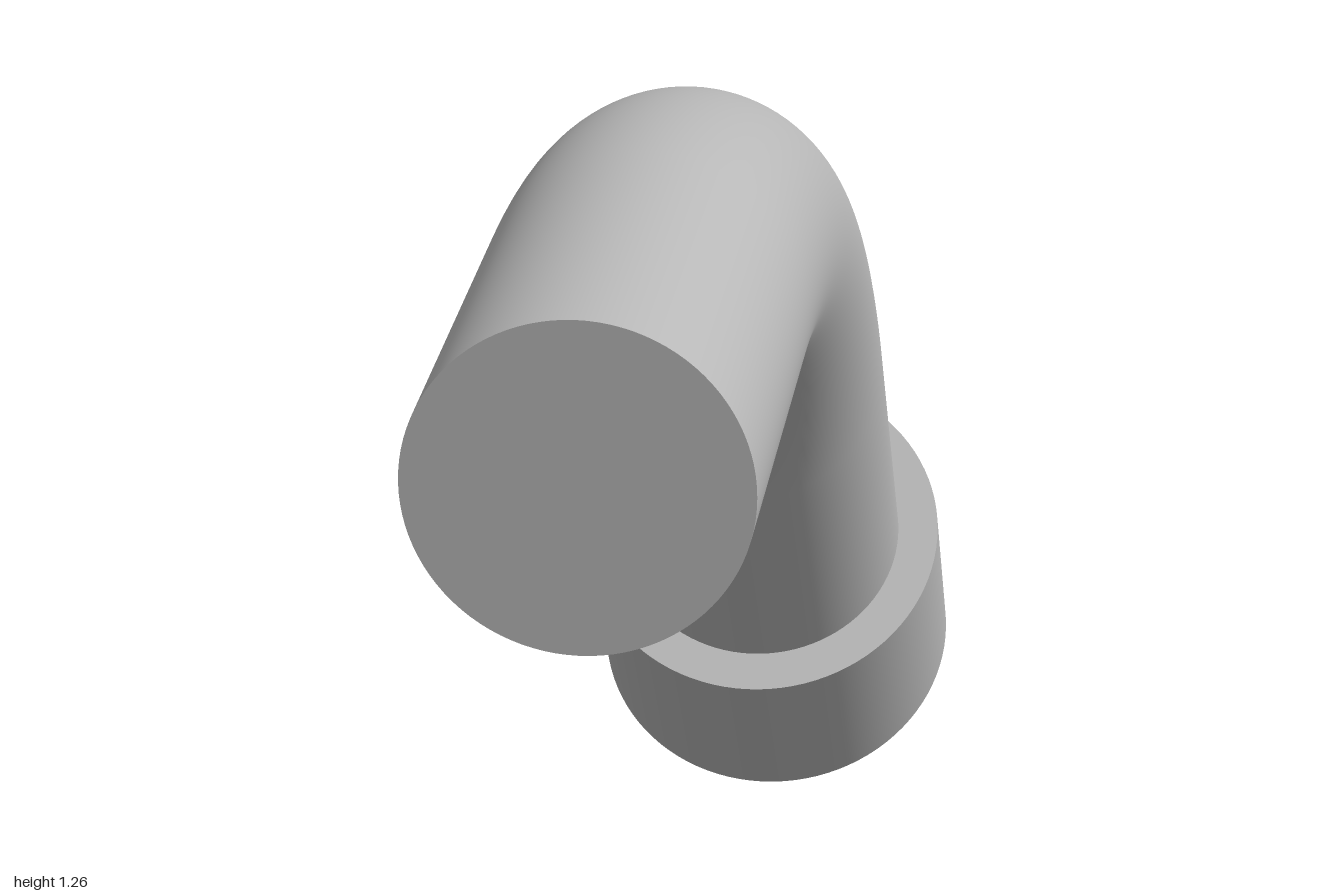
import * as THREE from 'three';

export function createModel() {
  const group = new THREE.Group();
  const grey = new THREE.MeshStandardMaterial({ color: 0xb8b8b8 });
  grey.name = 'plain grey';

  const pipeRadius = 0.174, collarRadius = 0.224, collarLength = 0.275;
  const bend = THREE.MathUtils.degToRad(50), bendRadius = 1.16, axisY = 1.083;
  const sides = 96;

  function add(name, geometry) {
    const mesh = new THREE.Mesh(geometry, grey);
    mesh.name = name;
    group.add(mesh);
    return mesh;
  }

  // Closed round bar from one point to another
  function bar(name, from, to, radius) {
    const axis = to.clone().sub(from);
    const mesh = add(name, new THREE.CylinderGeometry(radius, radius, axis.length(), sides));
    mesh.position.copy(from).addScaledVector(axis, 0.5);
    mesh.quaternion.setFromUnitVectors(new THREE.Vector3(0, 1, 0), axis.normalize());
  }

  // Key points along the centre line
  const slope = new THREE.Vector3(0, Math.sin(bend), Math.cos(bend));
  const foot = new THREE.Vector3(0, collarRadius * Math.cos(bend), -1 + collarRadius * Math.sin(bend));
  const collarTop = foot.clone().addScaledVector(slope, collarLength);
  const tangent = bendRadius * Math.tan(bend / 2);
  const toCorner = (axisY - foot.y) / slope.y;
  const bendLow = foot.clone().addScaledVector(slope, toCorner - tangent);
  const bendHigh = new THREE.Vector3(0, axisY, foot.z + slope.z * toCorner + tangent);

  // Level and sloping straight runs
  bar('levelPipe', new THREE.Vector3(0, axisY, 1), bendHigh, pipeRadius);
  bar('slopingPipe', bendLow, collarTop, pipeRadius);

  // Curved elbow joining the two runs
  const elbow = add('elbow', new THREE.TorusGeometry(bendRadius, pipeRadius, sides, 64, bend)
    .rotateZ(Math.PI / 2 - bend)
    .rotateY(Math.PI / 2));
  elbow.position.set(0, axisY - bendRadius, bendHigh.z);

  // Wider collar at the low end
  bar('collar', collarTop, foot, collarRadius);

  return group;
}
